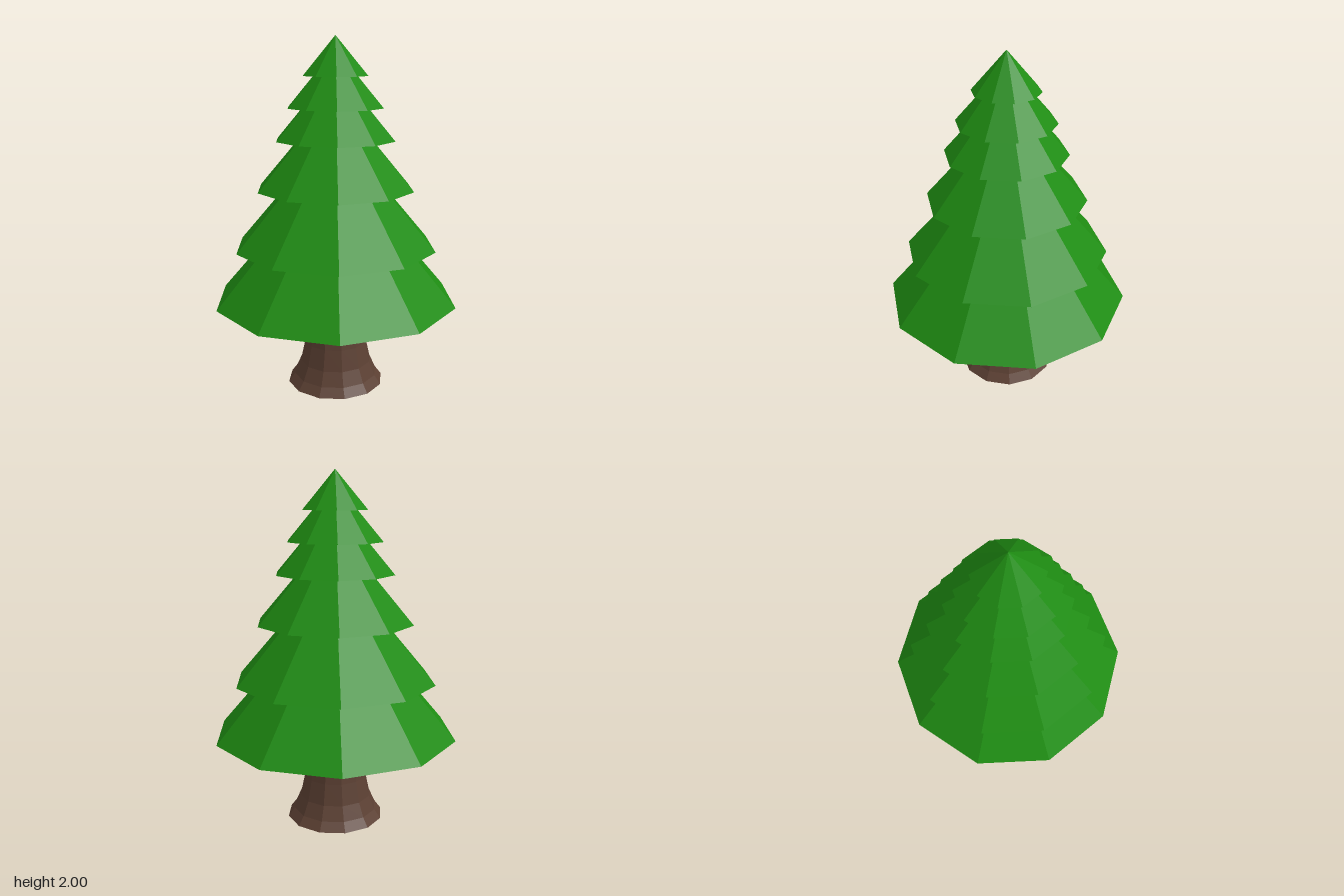
import * as THREE from 'three';

export function createModel() {
  const tree = new THREE.Group();
  tree.name = 'pineTree';

  const leaf = new THREE.MeshStandardMaterial({ color: 0x1e8c12, flatShading: true, side: THREE.DoubleSide });
  const bark = new THREE.MeshStandardMaterial({ color: 0x5c4033, flatShading: true });

  // Foliage: open ten-sided cones of one proportion, [rim height, radius]
  const tiers = [[0.515, 0.7], [0.83, 0.578], [1.163, 0.449], [1.437, 0.34], [1.614, 0.273], [1.785, 0.185]];
  tiers.forEach(([y, r], i) => {
    const h = r * 1.16;
    const cone = new THREE.Mesh(new THREE.ConeGeometry(r, h, 10, 1, true), leaf);
    cone.position.y = y + h / 2;
    cone.name = `foliageTier${i + 1}`;
    tree.add(cone);
  });

  // Trunk: twelve-sided, flared at the root and closed underneath
  const profile = [[0, 0], [0.28, 0], [0.243, 0.05], [0.208, 0.13], [0.182, 0.25], [0.16, 0.4], [0.152, 0.52], [0.12, 0.95], [0, 0.95]]
    .map(([r, y]) => new THREE.Vector2(r, y));
  const trunk = new THREE.Mesh(new THREE.LatheGeometry(profile, 12, Math.PI / 12), bark);
  trunk.name = 'trunk';
  tree.add(trunk);

  return tree;
}
